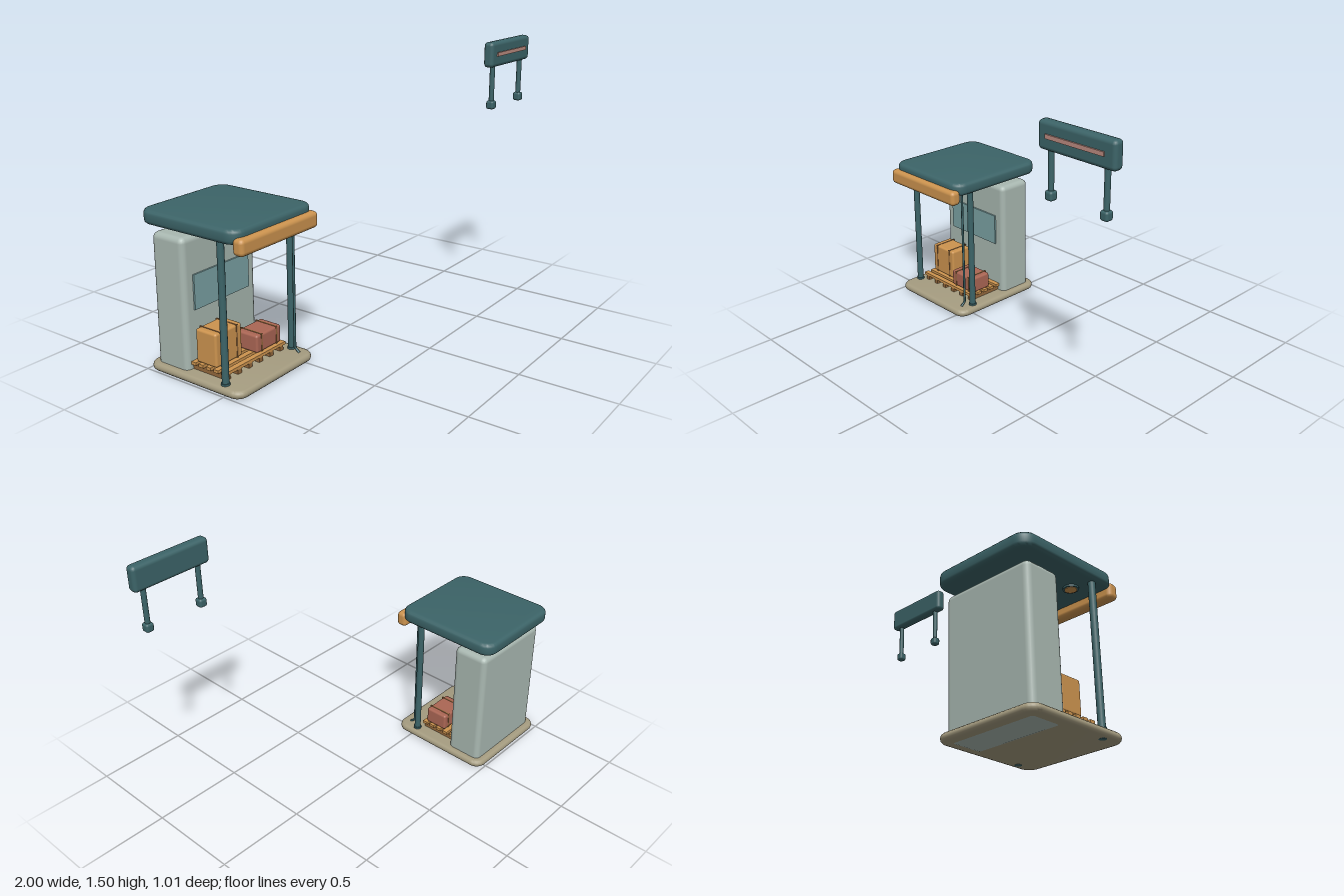
import * as THREE from 'three';
import { toCreasedNormals } from 'three/addons/utils/BufferGeometryUtils.js';
import { RoundedBoxGeometry } from 'three/addons/geometries/RoundedBoxGeometry.js';

function mat(name, color) {
  const m = new THREE.MeshStandardMaterial({ color });
  m.name = name;
  return m;
}

export function createModel() {
  const teal = mat('teal', 0x3c6468);
  const stone = mat('stone', 0xa59c80);
  const grey = mat('pale grey', 0xa9b8b1);
  const glass = mat('glass', 0x7ba2a4);
  const amber = mat('amber', 0xcd944f);
  const wood = mat('wood', 0x94683c);
  const red = mat('brick red', 0xab6654);
  const pink = mat('dusty pink', 0xbb8b80);

  const model = new THREE.Group();
  model.name = 'kioskAndSign';
  const group = (name) => {
    const g = new THREE.Group();
    g.name = name;
    model.add(g);
    return g;
  };
  const add = (parent, name, geometry, material, x = 0, y = 0, z = 0) => {
    const m = new THREE.Mesh(geometry, material);
    m.name = name;
    m.position.set(x, y, z);
    parent.add(m);
    return m;
  };
  // Box given by its limits, with rounded edges when r > 0
  const box = (parent, name, material, [x0, x1], [y0, y1], [z0, z1], r = 0) => {
    const s = [x1 - x0, y1 - y0, z1 - z0];
    const g = r ? new RoundedBoxGeometry(...s, 2, r) : new THREE.BoxGeometry(...s);
    return add(parent, name, g, material, (x0 + x1) / 2, (y0 + y1) / 2, (z0 + z1) / 2);
  };
  // Flat slab with round plan corners and bevelled rims
  const slab = (parent, name, material, [x0, x1], [y0, y1], [z0, z1], corner, bevel) => {
    const w = (x1 - x0) / 2 - bevel, d = (z1 - z0) / 2 - bevel, c = corner - bevel;
    const s = new THREE.Shape();
    s.moveTo(-w + c, -d);
    s.absarc(w - c, -d + c, c, -Math.PI / 2, 0);
    s.absarc(w - c, d - c, c, 0, Math.PI / 2);
    s.absarc(-w + c, d - c, c, Math.PI / 2, Math.PI);
    s.absarc(-w + c, -d + c, c, Math.PI, Math.PI * 1.5);
    let g = new THREE.ExtrudeGeometry(s, {
      depth: y1 - y0 - 2 * bevel, bevelThickness: bevel, bevelSize: bevel, bevelSegments: 3, curveSegments: 6,
    });
    g.translate(0, 0, bevel);
    g.rotateX(-Math.PI / 2);
    g = toCreasedNormals(g, 0.6);
    return add(parent, name, g, material, (x0 + x1) / 2, y0, (z0 + z1) / 2);
  };
  const rod = (parent, name, material, r, x, [y0, y1], z, sides = 16) =>
    add(parent, name, new THREE.CylinderGeometry(r, r, y1 - y0, sides), material, x, (y0 + y1) / 2, z);

  // Shelter: floor, roof, front fascia
  const kiosk = group('kiosk');
  slab(kiosk, 'floor', stone, [-1, -0.435], [0.002, 0.042], [-0.495, 0.1], 0.06, 0.018);
  slab(kiosk, 'roof', teal, [-1, -0.435], [0.747, 0.818], [-0.505, 0.105], 0.07, 0.02);
  box(kiosk, 'fascia', amber, [-0.99, -0.444], [0.7, 0.783], [0.073, 0.135], 0.022);

  // Front posts with small collars
  for (const x of [-0.96, -0.477]) {
    rod(kiosk, 'post', teal, 0.0175, x, [0.001, 0.76], -0.02);
    rod(kiosk, 'postCollar', teal, 0.022, x, [0.04, 0.052], -0.02);
  }

  // Rain pipe with a kicked-out foot
  const path = new THREE.CurvePath();
  const pts = [[0.76, 0.02], [0.065, 0.02], [0.043, 0.047]].map(([y, z]) => new THREE.Vector3(-0.5, y, z));
  path.add(new THREE.LineCurve3(pts[0], pts[1]));
  path.add(new THREE.LineCurve3(pts[1], pts[2]));
  add(kiosk, 'rainPipe', new THREE.TubeGeometry(path, 40, 0.0065, 8), teal);

  // Ceiling lamps
  for (const x of [-0.865, -0.57]) {
    rod(kiosk, 'lampHousing', teal, 0.037, x, [0.738, 0.75], -0.052, 20);
    rod(kiosk, 'lampLens', amber, 0.029, x, [0.735, 0.739], -0.052, 20);
  }

  // Rear cabinet with a glazed panel
  box(kiosk, 'cabinet', grey, [-0.967, -0.468], [0, 0.705], [-0.46, -0.257], 0.03);
  box(kiosk, 'window', glass, [-0.907, -0.528], [0.338, 0.515], [-0.2575, -0.248]);

  // Pallet: slats across, runners front to back
  const pallet = group('pallet');
  for (let i = 0; i < 5; i++) {
    const z = -0.038 - i * 0.048;
    box(pallet, 'slat', amber, [-0.94, -0.505], [0.068, 0.084], [z - 0.03, z]);
  }
  for (let i = 0; i < 6; i++) {
    const x = -0.915 + i * 0.077;
    box(pallet, 'runner', wood, [x - 0.013, x + 0.013], [0.042, 0.069], [-0.258, -0.042]);
  }

  // Strapped parcels
  const parcel = (name, material, xs, ys, zs) => {
    const g = group(name);
    box(g, 'carton', material, xs, ys, zs, 0.012);
    const mid = (xs[0] + xs[1]) / 2, e = 0.002;
    for (const x of [mid - 0.055, mid + 0.055]) {
      box(g, 'strap', wood, [x - 0.004, x + 0.004], [ys[0] + e, ys[1] + e], [zs[0] - e, zs[1] + e]);
    }
  };
  parcel('tallParcel', amber, [-0.928, -0.747], [0.084, 0.256], [-0.235, -0.105]);
  parcel('lowParcel', red, [-0.697, -0.516], [0.084, 0.176], [-0.187, -0.055]);

  // Raised sign on two legs
  const sign = group('sign');
  box(sign, 'signBoard', teal, [0.567, 1], [1.365, 1.497], [0.442, 0.498], 0.02);
  box(sign, 'signStripe', pink, [0.617, 0.943], [1.422, 1.442], [0.497, 0.505]);
  for (const x of [0.625, 0.94]) {
    rod(sign, 'signLeg', teal, 0.0135, x, [1.16, 1.38], 0.47);
    box(sign, 'signFoot', teal, [x - 0.022, x + 0.022], [1.14, 1.186], [0.448, 0.492], 0.012);
  }
  return model;
}
